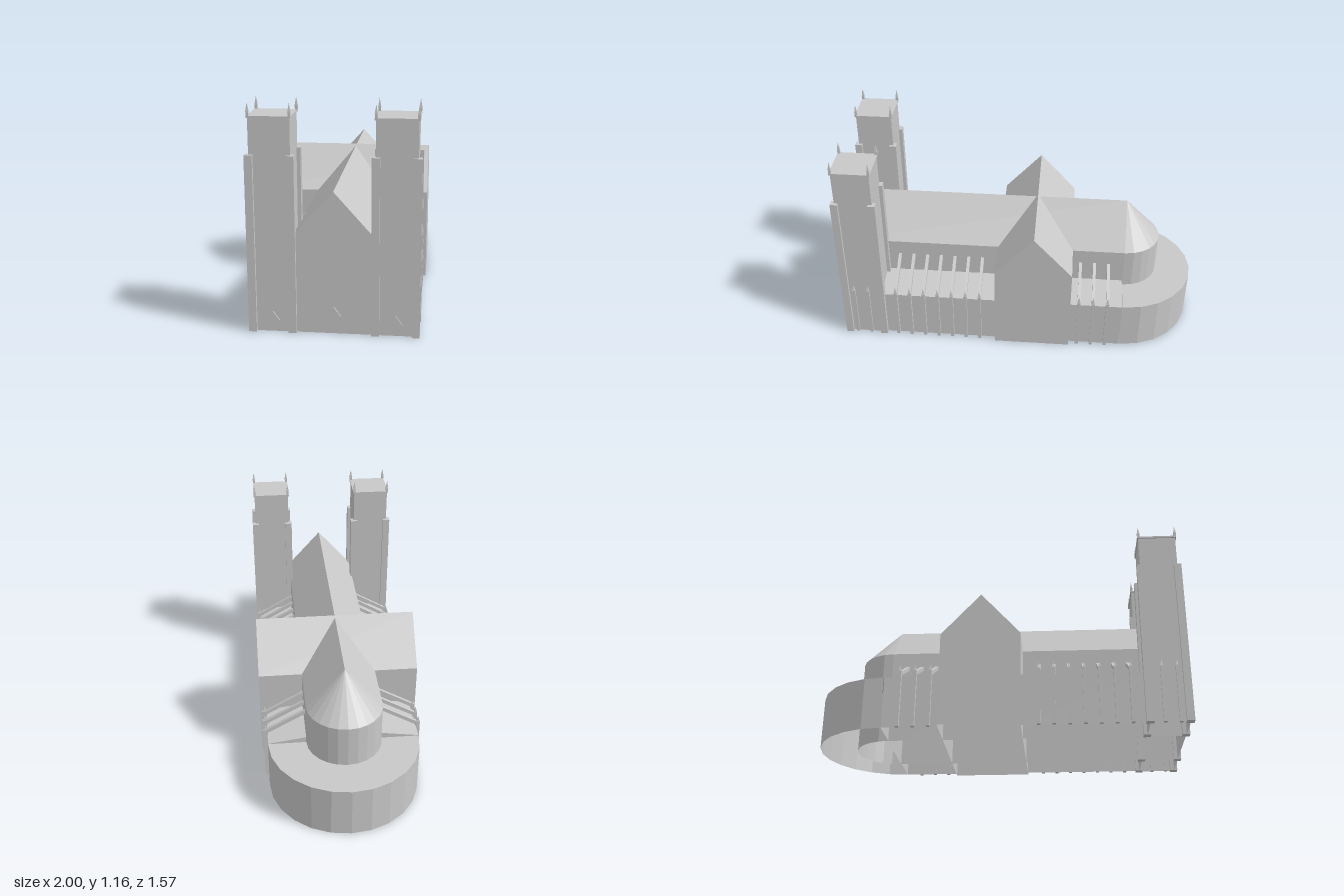
import * as THREE from 'three';

const stone = new THREE.MeshStandardMaterial({ color: 0xc8c8c8, flatShading: true, side: THREE.DoubleSide });
stone.name = 'grey stone';

// Key plan sizes, measured in the building's own axes (x runs west to east)
const NAVE = 0.2, AISLE = 0.402, WEST = -0.868, APSE = 0.71, CROSSING = 0.202;
const EAVES = 0.51, RIDGE = 0.735, AISLE_TOP = 0.28;

export function createModel() {
  const model = new THREE.Group();
  model.name = 'cathedral';
  const church = new THREE.Group();
  church.name = 'church';
  church.rotation.y = Math.PI / 6;
  church.position.set(-0.0175, 0, -0.0303);
  model.add(church);

  function add(name, geometry, x = 0, y = 0, z = 0, parent = church) {
    const mesh = new THREE.Mesh(geometry, stone);
    mesh.name = name;
    mesh.position.set(x, y, z);
    parent.add(mesh);
    return mesh;
  }

  // Drops the triangles lying on the ground, leaving a hollow shell
  function openBottom(geometry) {
    const g = geometry.index ? geometry.toNonIndexed() : geometry;
    const p = g.attributes.position, kept = [];
    for (let i = 0; i < p.count; i += 3) {
      if (Math.max(p.getY(i), p.getY(i + 1), p.getY(i + 2)) < 1e-5) continue;
      for (let j = i; j < i + 3; j++) kept.push(p.getX(j), p.getY(j), p.getZ(j));
    }
    const out = new THREE.BufferGeometry();
    out.setAttribute('position', new THREE.Float32BufferAttribute(kept, 3));
    out.computeVertexNormals();
    return out;
  }

  // Extrudes a cross-section given as [z, y] from x0 to x1
  function hall(section, x0, x1) {
    const shape = new THREE.Shape(section.map(([z, y]) => new THREE.Vector2(-z, y)));
    const g = new THREE.ExtrudeGeometry(shape, { depth: x1 - x0, bevelEnabled: false });
    return openBottom(g.rotateY(Math.PI / 2).translate(x0, 0, 0));
  }
  const gabled = (half, ridge) => [[half, 0], [half, EAVES], [0, ridge], [-half, EAVES], [-half, 0]];

  // Nave and transept
  add('nave', hall(gabled(NAVE, RIDGE), WEST, APSE));
  add('transept', hall(gabled(0.213, 0.745), -0.435, 0.435), CROSSING).rotation.y = Math.PI / 2;

  // Rounded east end
  add('apseWall', new THREE.CylinderGeometry(NAVE, NAVE, EAVES, 12, 1, true, 0, Math.PI), APSE, EAVES / 2);
  add('apseRoof', new THREE.ConeGeometry(NAVE, RIDGE - EAVES, 12, 1, true, 0, Math.PI), APSE, (EAVES + RIDGE) / 2);
  add('ambulatoryWall', new THREE.CylinderGeometry(AISLE, AISLE, AISLE_TOP, 12, 1, true, 0, Math.PI), APSE, AISLE_TOP / 2);
  add('ambulatoryRoof', new THREE.RingGeometry(NAVE, AISLE, 12, 1, -Math.PI / 2, Math.PI).rotateX(-Math.PI / 2), APSE, AISLE_TOP);

  function pinnacle(name, radius, height, x, y, z) {
    add(name, new THREE.ConeGeometry(radius, height, 4).rotateY(Math.PI / 4), x, y + height / 2, z);
  }

  // Sloping strut from a buttress up to the nave wall
  function flyer(x, side) {
    const dz = 0.21, dy = 0.12;
    const strut = add('flyingButtress', new THREE.BoxGeometry(0.017, 0.02, Math.hypot(dz, dy)), x, 0.36, side * 0.302);
    strut.rotation.x = side * Math.atan2(dy, dz);
  }

  const flyingBays = [0.463, 0.543, 0.623];
  for (let i = 0; i < 7; i++) flyingBays.push(-0.582 + 0.08 * i);
  const towerBays = [-0.822, -0.742];

  for (const side of [-1, 1]) {
    // Aisles with lean-to roofs
    const section = [[side * AISLE, 0], [side * AISLE, AISLE_TOP], [side * NAVE, 0.31], [side * NAVE, 0]];
    add('westAisle', hall(section, -0.668, -0.011));
    add('eastAisle', hall(section, 0.415, APSE - 0.003));

    // Buttress posts, flyers on the aisles only
    for (const x of [...flyingBays, ...towerBays]) {
      add('buttressPost', new THREE.BoxGeometry(0.018, 0.31, 0.022), x, 0.155, side * 0.411);
      pinnacle('postPinnacle', 0.011, 0.035, x, 0.31, side * 0.413);
    }
    for (const x of flyingBays) flyer(x, side);

    // West towers
    const tx = -0.767, tz = side * 0.308;
    add('tower', openBottom(new THREE.BoxGeometry(0.204, 1.092, 0.204).translate(0, 0.546, 0)), tx, 0, tz);
    add('towerCap', new THREE.BoxGeometry(0.216, 0.01, 0.216), tx, 1.094, tz);
    for (const sx of [-1, 1]) for (const sz of [-1, 1]) {
      const x = tx + sx * 0.101, z = tz + sz * 0.101;
      add('cornerButtress', new THREE.BoxGeometry(0.04, 0.91, 0.04), x, 0.455, z);
      add('pinnacleBase', new THREE.BoxGeometry(0.013, 0.02, 0.013), x, 1.108, z);
      pinnacle('towerPinnacle', 0.011, 0.048, x, 1.116, z);
    }
  }

  // Small gables over the three west doors
  for (const [z, y] of [[-0.308, 0.06], [0, 0.095], [0.308, 0.06]]) {
    const gable = new THREE.Shape([[-0.035, 0], [0.035, 0], [0, 0.048]].map(([a, b]) => new THREE.Vector2(a, b)));
    const g = new THREE.ExtrudeGeometry(gable, { depth: 0.008, bevelEnabled: false }).rotateY(-Math.PI / 2);
    add('doorGable', g, WEST, y, z);
  }
  return model;
}
